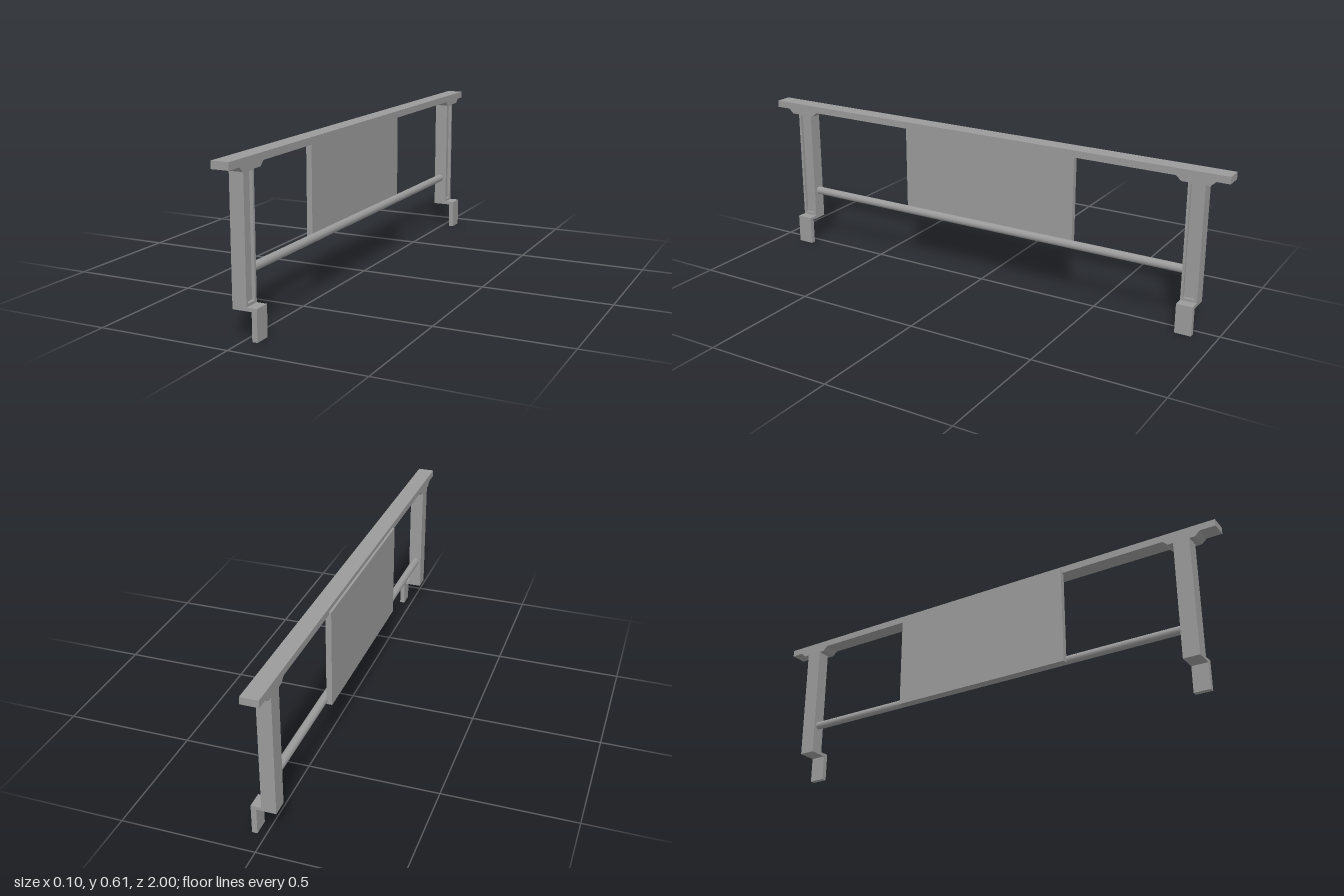
import * as THREE from 'three';

const mat = new THREE.MeshStandardMaterial({ color: 0x9a9a9a });

function add(parent, name, geometry) {
  const mesh = new THREE.Mesh(geometry, mat);
  mesh.name = name;
  parent.add(mesh);
  return mesh;
}

// Box given by its limits on each axis
function block(parent, name, [x0, x1], [y0, y1], [z0, z1]) {
  const mesh = add(parent, name, new THREE.BoxGeometry(x1 - x0, y1 - y0, z1 - z0));
  mesh.position.set((x0 + x1) / 2, (y0 + y1) / 2, (z0 + z1) / 2);
}

// Symmetric polygon in the z-y plane (counter-clockwise), extruded from x0 to x1
function profileZY(points, x0, x1, hole) {
  const toVectors = (list) => list.map(([z, y]) => new THREE.Vector2(z, y));
  const shape = new THREE.Shape(toVectors(points));
  if (hole) shape.holes.push(new THREE.Path(toVectors(hole).reverse()));
  const g = new THREE.ExtrudeGeometry(shape, { depth: x1 - x0, bevelEnabled: false });
  return g.rotateY(Math.PI / 2).translate(x0, 0, 0);
}

const rect = (w, y0, y1) => [[-w, y0], [w, y0], [w, y1], [-w, y1]];

export function createModel() {
  const model = new THREE.Group();
  model.name = 'railing';

  block(model, 'topRail', [-0.042, 0.024], [0.585, 0.612], [-1, 1]);

  // Parts hung below the rail sit very slightly towards the back
  const frame = new THREE.Group();
  frame.name = 'frame';
  frame.position.z = -0.005;
  model.add(frame);

  const half = 0.032;
  for (const side of [1, -1]) {
    const support = new THREE.Group();
    support.name = side > 0 ? 'frontSupport' : 'backSupport';
    support.position.z = side * 0.872;
    frame.add(support);

    // Post with a shallow channel in its outer face
    block(support, 'postBody', [-0.042, 0], [0.102, 0.568], [-half, half]);
    add(support, 'postChannelRim',
      profileZY(rect(half, 0.102, 0.568), 0, 0.012, rect(0.022, 0.125, 0.56)));

    // Tapered bracket under the rail
    add(support, 'bracket', profileZY(
      [[-0.053, 0.567], [0.053, 0.567], [0.073, 0.585], [-0.073, 0.585]], -0.042, 0.024));

    // Angled foot stepping out and down from the post
    const foot = new THREE.Shape([
      [0.012, 0.102], [0.031, 0.102], [0.031, 0], [0.051, 0], [0.051, 0.115], [0.012, 0.115],
    ].map(([x, y]) => new THREE.Vector2(x, y)));
    add(support, 'foot', new THREE.ExtrudeGeometry(foot, { depth: 2 * half, bevelEnabled: false })
      .translate(0, 0, -half));
  }

  // Round lower rail between the posts
  const bar = add(frame, 'lowerRail', new THREE.CylinderGeometry(0.016, 0.016, 1.69, 24));
  bar.rotation.x = Math.PI / 2;
  bar.position.set(-0.017, 0.225, 0);

  // Flat panel in the middle
  block(frame, 'panel', [-0.051, -0.029], [0.209, 0.596], [-0.379, 0.379]);

  return model;
}
